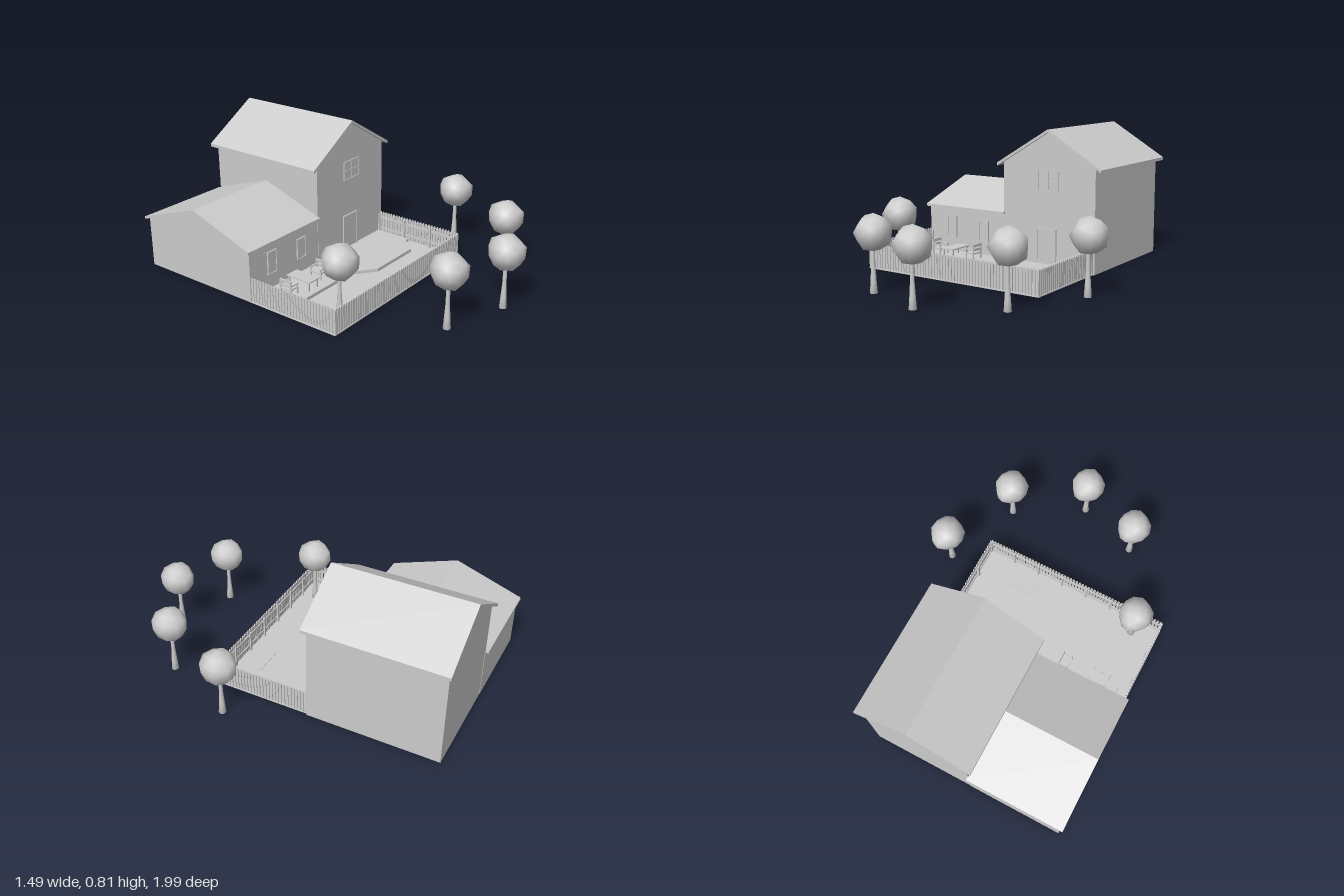
import * as THREE from 'three';
import { mergeGeometries, mergeVertices } from 'three/addons/utils/BufferGeometryUtils.js';

const grey = new THREE.MeshStandardMaterial({ color: 0xcccccc });

function add(parent, name, geometry, x = 0, y = 0, z = 0) {
  const mesh = new THREE.Mesh(geometry, grey);
  mesh.name = name;
  mesh.position.set(x, y, z);
  parent.add(mesh);
  return mesh;
}

// Box given by its minimum and maximum corners
function block(parent, name, x0, x1, y0, y1, z0, z1) {
  return add(parent, name, new THREE.BoxGeometry(x1 - x0, y1 - y0, z1 - z0),
    (x0 + x1) / 2, (y0 + y1) / 2, (z0 + z1) / 2);
}

function extrude(points, depth) {
  const shape = new THREE.Shape(points.map(([x, y]) => new THREE.Vector2(x, y)));
  return new THREE.ExtrudeGeometry(shape, { depth, bevelEnabled: false });
}

// Gabled building, ridge along local z; walls and roof each have their own z span
function gabledHouse(name, { wallHalf, roofHalf, ridge, eave, thick, walls, roof }) {
  const house = new THREE.Group();
  house.name = name;
  const slope = (ridge - eave) / roofHalf;
  const under = ridge - thick;
  const wallTop = under - slope * wallHalf;
  add(house, 'walls', extrude([[-wallHalf, 0], [wallHalf, 0], [wallHalf, wallTop],
    [0, under], [-wallHalf, wallTop]], walls[1] - walls[0]), 0, 0, walls[0]);
  add(house, 'roof', extrude([[-roofHalf, eave - thick], [0, under], [roofHalf, eave - thick],
    [roofHalf, eave], [0, ridge], [-roofHalf, eave]], roof[1] - roof[0]), 0, 0, roof[0]);
  return house;
}

// Picket fence running along local x from the origin, rails on the -z side
function fence(name, length) {
  const group = new THREE.Group();
  group.name = name;
  const count = Math.round(length / 0.02);
  const pitch = length / count;
  const w = pitch * 0.4;
  const pickets = [];
  for (let i = 0; i < count; i++) {
    const g = extrude([[-w, 0.008], [w, 0.008], [w, 0.138], [w * 0.5, 0.147],
      [0, 0.15], [-w * 0.5, 0.147], [-w, 0.138]], 0.006);
    g.translate((i + 0.5) * pitch, 0, 0);
    pickets.push(g);
  }
  add(group, 'pickets', mergeGeometries(pickets));
  for (const y of [0.04, 0.11]) block(group, 'rail', 0, length, y - 0.007, y + 0.007, -0.006, 0);
  const bays = Math.max(2, Math.round(length / 0.17));
  for (let i = 0; i <= bays; i++) {
    const x = 0.006 + (length - 0.012) * i / bays;
    block(group, 'post', x - 0.006, x + 0.006, 0, 0.135, -0.014, -0.004);
  }
  return group;
}

// Flat window: a panel with a raised frame and optional cross bars
function windowUnit(parent, x0, x1, y0, y1, z, bars) {
  const g = new THREE.Group();
  g.name = 'window';
  parent.add(g);
  const t = 0.006;
  block(g, 'pane', x0, x1, y0, y1, z - 0.004, z + 0.002);
  for (const x of [x0, x1 - t]) block(g, 'frameSide', x, x + t, y0, y1, z, z + 0.007);
  for (const y of [y0, y1 - t]) block(g, 'frameRail', x0, x1, y, y + t, z, z + 0.007);
  if (bars) {
    const cx = (x0 + x1) / 2, cy = (y0 + y1) / 2;
    block(g, 'crossBar', cx - t / 2, cx + t / 2, y0, y1, z, z + 0.006);
    block(g, 'crossBar', x0, x1, cy - t / 2, cy + t / 2, z, z + 0.006);
  }
}

// Armchair facing +x, standing on its local y = 0
function chair() {
  const g = new THREE.Group();
  g.name = 'chair';
  for (const s of [-1, 1]) {
    const z = s * 0.036;
    block(g, 'backLeg', -0.03, -0.023, 0, 0.092, z - 0.004, z + 0.004);
    block(g, 'frontLeg', 0.023, 0.03, 0, 0.06, z - 0.004, z + 0.004);
    block(g, 'armrest', -0.03, 0.03, 0.058, 0.064, z - 0.005, z + 0.005);
  }
  block(g, 'seat', -0.03, 0.03, 0.032, 0.04, -0.036, 0.036);
  block(g, 'backTop', -0.031, -0.023, 0.076, 0.092, -0.036, 0.036);
  block(g, 'backSlat', -0.03, -0.024, 0.052, 0.066, -0.036, 0.036);
  return g;
}

// Lumpy crown: wide above the middle, narrowing below, pulled out toward -z
function crownGeometry() {
  let g = new THREE.IcosahedronGeometry(1, 1);
  g.deleteAttribute('normal');
  g.deleteAttribute('uv');
  g = mergeVertices(g, 1e-3);
  const p = g.attributes.position;
  const v = new THREE.Vector3();
  for (let i = 0; i < p.count; i++) {
    v.fromBufferAttribute(p, i);
    const lump = 1 + 0.05 * Math.sin(5 * v.x + 3 * v.y) + 0.04 * Math.sin(4 * v.z - 5 * v.y);
    const taper = 1 + 0.14 * v.y;
    const point = v.z < 0 ? 1 + 0.22 * v.z * v.z * v.z : 1;
    p.setXYZ(i, v.x * 0.1 * lump * taper * point, v.y * 0.1 * lump,
      v.z * 0.1 * lump * (v.z < -0.7 ? 1.08 : 1));
  }
  g.computeVertexNormals();
  return g;
}

export function createModel() {
  const model = new THREE.Group();
  model.name = 'houseWithGarden';

  // Main house and lower side wing
  const main = gabledHouse('mainHouse', { wallHalf: 0.307, roofHalf: 0.348, ridge: 0.81, eave: 0.6,
    thick: 0.018, walls: [-0.98, -0.2], roof: [-1, -0.185] });
  main.position.x = 0.138;
  model.add(main);
  const wing = gabledHouse('sideWing', { wallHalf: 0.39, roofHalf: 0.407, ridge: 0.445, eave: 0.305,
    thick: 0.015, walls: [-0.73, -0.16], roof: [-0.75, -0.165] });
  wing.rotation.y = Math.PI / 2;
  wing.position.z = -0.592;
  model.add(wing);

  // Ground slab, small garden bed and raised terrace
  block(model, 'yard', -0.73, 0.437, 0, 0.006, -0.3, 0.375);
  block(model, 'gardenBed', 0.05, 0.24, -0.001, 0.009, 0.21, 0.3);
  const terrace = extrude([[-0.66, -0.21], [0.417, -0.21], [0.417, 0.03], [0.39, 0.03], [0.305, 0.125],
    [-0.03, 0.125], [-0.15, 0.03], [-0.66, 0.03]], 0.025);
  terrace.rotateX(Math.PI / 2);
  add(model, 'terrace', terrace, 0, 0.025, 0);

  // Door and windows on the front walls
  const door = new THREE.Group();
  door.name = 'door';
  model.add(door);
  block(door, 'doorPanel', 0.065, 0.19, 0.025, 0.23, -0.204, -0.196);
  for (const x of [0.06, 0.187]) block(door, 'doorFrameSide', x, x + 0.008, 0.025, 0.235, -0.202, -0.191);
  block(door, 'doorFrameTop', 0.06, 0.195, 0.227, 0.235, -0.202, -0.191);
  add(door, 'doorKnob', new THREE.SphereGeometry(0.005, 10, 8), 0.177, 0.125, -0.192);
  windowUnit(model, 0.07, 0.21, 0.455, 0.57, -0.2, true);
  windowUnit(model, -0.595, -0.522, 0.11, 0.245, -0.2, false);
  windowUnit(model, -0.355, -0.282, 0.11, 0.235, -0.2, false);

  // Table with a chair at each end
  const table = new THREE.Group();
  table.name = 'table';
  table.position.set(-0.445, 0.025, -0.08);
  model.add(table);
  block(table, 'tableTop', -0.042, 0.042, 0.05, 0.057, -0.082, 0.082);
  for (const x of [-0.034, 0.034]) for (const z of [-0.07, 0.07])
    block(table, 'tableLeg', x - 0.004, x + 0.004, 0, 0.052, z - 0.004, z + 0.004);
  for (const s of [-1, 1]) {
    const c = chair();
    c.position.set(-0.436 + s * 0.125, 0.025, -0.08);
    if (s > 0) c.rotation.y = Math.PI;
    model.add(c);
  }

  // Picket fence on three sides
  const front = fence('frontFence', 1.16);
  front.position.set(-0.725, 0, 0.368);
  const left = fence('leftFence', 0.575);
  left.rotation.y = Math.PI / 2;
  left.position.set(0.43, 0, 0.374);
  const right = fence('rightFence', 0.575);
  right.rotation.y = -Math.PI / 2;
  right.position.set(-0.722, 0, -0.2);
  model.add(front, left, right);

  // Five matching trees
  const crown = crownGeometry();
  const trunk = new THREE.LatheGeometry([[0, 0], [0.021, 0], [0.016, 0.07], [0.011, 0.15],
    [0.011, 0.26]].map(([r, y]) => new THREE.Vector2(r, y)), 10);
  for (const [x, z] of [[-0.565, 0.28], [-0.317, 0.775], [0.048, 0.895], [0.453, 0.668], [0.645, 0.22]]) {
    const tree = new THREE.Group();
    tree.name = 'tree';
    tree.position.set(x, 0, z);
    add(tree, 'trunk', trunk, -0.009, 0, 0);
    add(tree, 'crown', crown, 0, 0.32, 0);
    model.add(tree);
  }
  return model;
}
